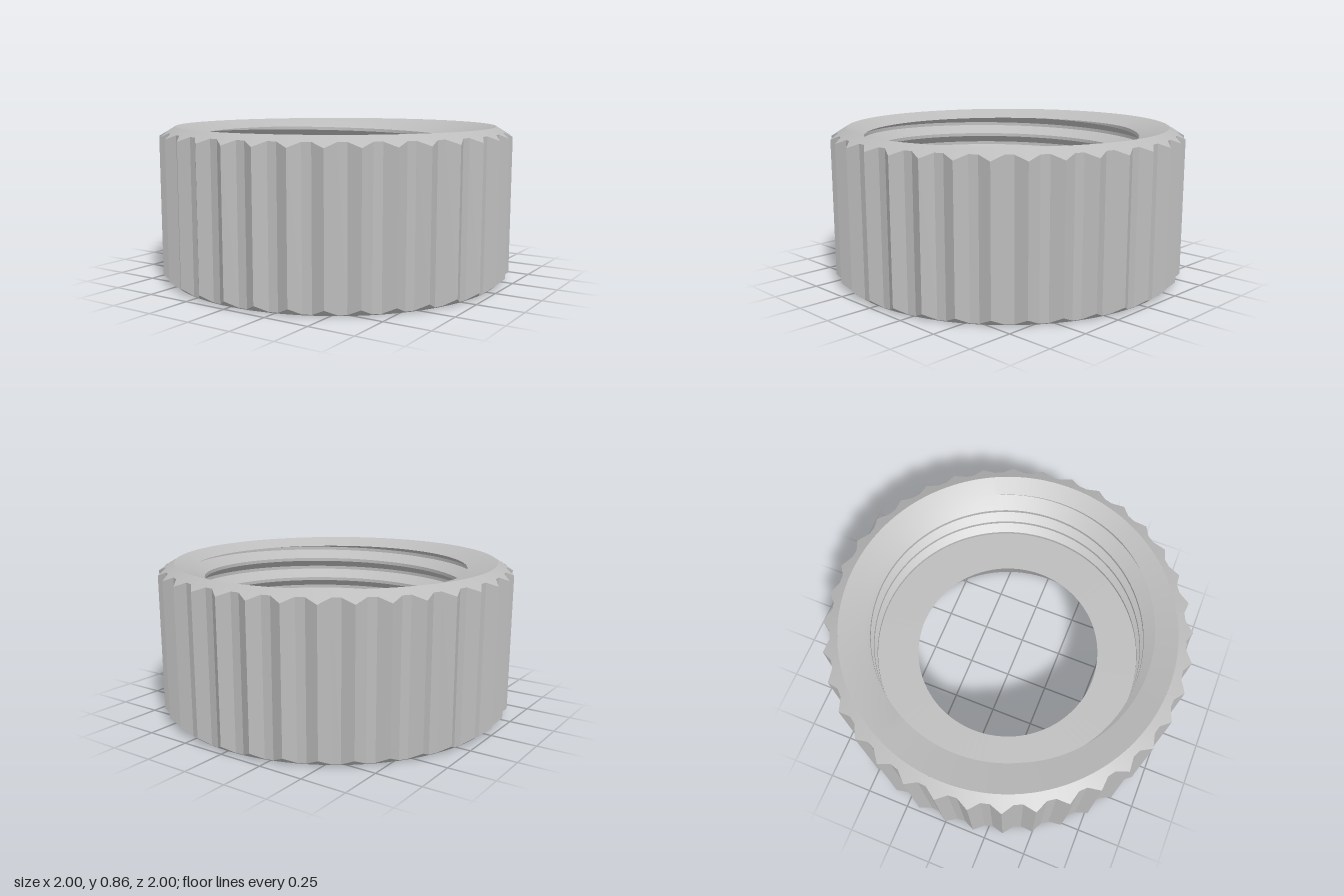
import * as THREE from 'three';
import { toCreasedNormals } from 'three/addons/utils/BufferGeometryUtils.js';

const TAU = Math.PI * 2;
const CREASE = 0.35;

// Skin over columns (angles, counterclockwise from above) and rows; point(angle, row) gives [radius, y].
// Rows listed upward face outward, rows listed downward face the axis.
function skin(angles, rows, point) {
  const pos = [], index = [], w = angles.length;
  for (const row of rows) {
    for (const a of angles) {
      const [r, y] = point(a, row);
      pos.push(r * Math.sin(a), y, r * Math.cos(a));
    }
  }
  for (let j = 0; j < rows.length - 1; j++) {
    for (let i = 0; i < w - 1; i++) {
      const a = j * w + i, b = a + 1, d = a + w, c = d + 1;
      const flatBottom = Math.abs(pos[a * 3 + 1] - pos[d * 3 + 1]) < 1e-6;
      const flatTop = Math.abs(pos[b * 3 + 1] - pos[c * 3 + 1]) < 1e-6;
      if (!flatTop) index.push(b, c, flatBottom ? a : d);
      if (!flatBottom) index.push(a, b, d);
    }
  }
  const g = new THREE.BufferGeometry();
  g.setAttribute('position', new THREE.Float32BufferAttribute(pos, 3));
  g.setIndex(index);
  return toCreasedNormals(g, CREASE);
}

export function createModel() {
  const group = new THREE.Group();
  const metal = new THREE.MeshStandardMaterial({ color: 0xbcbcbc });
  metal.name = 'light grey';
  const add = (name, geometry) => {
    const mesh = new THREE.Mesh(geometry, metal);
    mesh.name = name;
    group.add(mesh);
  };

  // Outer grip: 36 sharp ridges, cut by a chamfer above and below
  const TEETH = 36, PEAK = 1, VALLEY = 0.958;
  const gripAngles = [], radiusAt = new Map();
  for (let t = 0; t <= TEETH; t++) {
    for (const [f, r] of [[0, PEAK], [0.36, VALLEY], [0.64, VALLEY]]) {
      if (t === TEETH && f > 0) break;
      const a = ((t + f) / TEETH) * TAU;
      gripAngles.push(a);
      radiusAt.set(a, r);
    }
  }
  add('ridgedGrip', skin(gripAngles, [0, 1, 2, 3], (a, row) => {
    const r = radiusAt.get(a);
    if (row === 0) return [0.95, 0];
    if (row === 1) return [r, (r - 0.95) * 0.8];
    if (row === 2) return [r, 0.855 - (r - 0.91) * 0.61];
    return [0.91, 0.855];
  }));

  // Inner screw thread with its sloping lead-in up to the rim
  const PITCH = 0.13, CREST = 0.745, ROOT = 0.82, LOW = 0.46, HIGH = 0.81, SHIFT = 0.594;
  const threadRadius = (phase) => {
    const f = phase - Math.floor(phase);
    if (f < 0.15) return CREST;
    if (f < 0.5) return CREST + (ROOT - CREST) * (f - 0.15) / 0.35;
    if (f < 0.65) return ROOT;
    return ROOT - (ROOT - CREST) * (f - 0.65) / 0.35;
  };
  const threadAngles = Array.from({ length: 145 }, (_, i) => (i / 144) * TAU);
  const threadRows = ['rim'];
  for (let k = 8; k >= 2; k--) {
    for (const f of [0.65, 0.5, 0.15, 0]) threadRows.push(k + f);
  }
  add('innerThread', skin(threadAngles, threadRows, (a, row) => {
    if (row === 'rim') return [0.91, 0.855];
    const y = THREE.MathUtils.clamp(PITCH * (row + a / TAU - SHIFT), LOW, HIGH);
    return [threadRadius(y / PITCH - a / TAU + SHIFT + 1e-7), y];
  }));

  // Inner shelf, tapered bore and grooved underside
  const base = [
    [0.83, 0.46], [0.52, 0.46], [0.72, 0], [0.787, 0],
    [0.787, 0.15], [0.88, 0.15], [0.88, 0], [0.95, 0],
  ].map(([r, y]) => new THREE.Vector2(r, y));
  add('shelfAndUnderside', toCreasedNormals(new THREE.LatheGeometry(base, 108), CREASE));

  return group;
}
